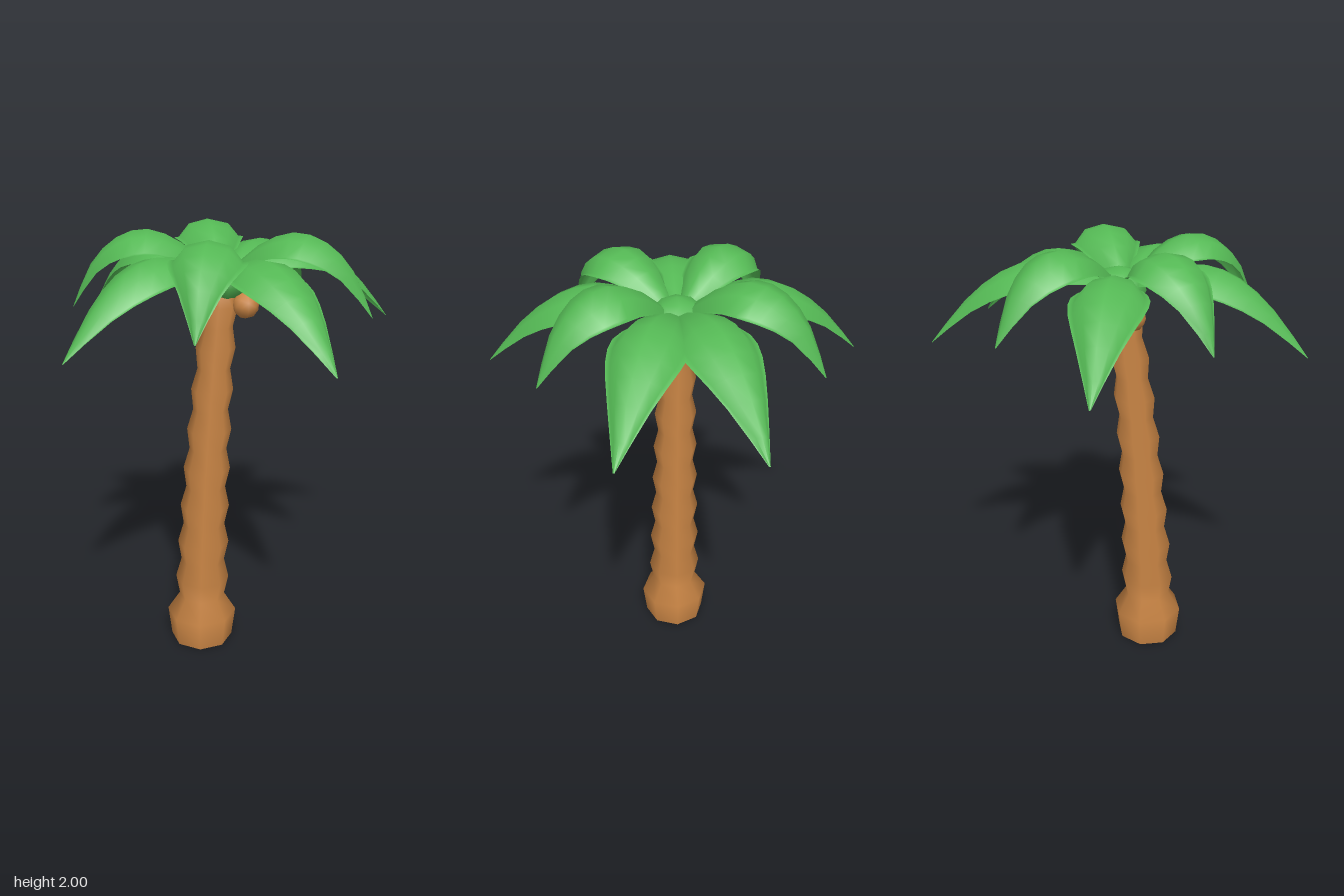
import * as THREE from 'three';

export function createModel() {
  const model = new THREE.Group();
  model.name = 'palmTree';
  const bark = new THREE.MeshStandardMaterial({ color: 0xc88444 });
  bark.name = 'bark brown';
  const green = new THREE.MeshStandardMaterial({ color: 0x54b854, side: THREE.DoubleSide });
  green.name = 'leaf green';

  function add(name, geometry, material, x = 0, y = 0, z = 0) {
    const mesh = new THREE.Mesh(geometry, material);
    mesh.name = name;
    mesh.position.set(x, y, z);
    model.add(mesh);
    return mesh;
  }

  // Trunk: flared foot, then alternating wide and narrow rings
  const profile = [[0.15, 0], [0.168, 0.145]];
  for (let i = 0; i < 16; i++) {
    const t = i / 15;
    const radius = i % 2 ? 0.132 - 0.048 * t : 0.11 - 0.044 * t;
    profile.push([radius, 0.235 + 0.0955 * i]);
  }
  profile.push([0.055, 1.76]);
  const trunk = new THREE.LatheGeometry(profile.map(([r, y]) => new THREE.Vector2(r, y)), 8);
  // Lean towards +x, more strongly near the top
  const p = trunk.attributes.position;
  for (let i = 0; i < p.count; i++) {
    p.setX(i, p.getX(i) - 0.13 + 0.135 * Math.pow(p.getY(i) / 1.75, 1.8));
  }
  add('trunk', trunk, bark);
  add('trunkBase', new THREE.CircleGeometry(0.15, 8).rotateX(Math.PI / 2), bark, -0.13);

  // Crown knob and the nuts below it
  add('crownKnob', new THREE.IcosahedronGeometry(0.125, 1), green, 0.02, 1.785, 0).scale.y = 0.8;
  [[0.055, 0.105], [0.082, -0.072], [-0.058, -0.06]].forEach(([x, z]) =>
    add('coconut', new THREE.IcosahedronGeometry(0.06, 1), bark, x, 1.675, z));

  // Leaf: an arched section with a flat lip, swept along a drooping path
  const section = [[-1, -0.52], [-0.86, -0.5], [-0.55, -0.13], [0, 0], [0.55, -0.13], [0.86, -0.5], [1, -0.52]];
  const widths = new THREE.SplineCurve(
    [[0, 0.035], [0.22, 0.115], [0.44, 0.162], [0.62, 0.148], [0.82, 0.085], [1, 0.003]]
      .map(([a, b]) => new THREE.Vector2(a, b)));
  const ROWS = 10;

  function leafGeometry(path) {
    const curve = new THREE.SplineCurve(path.map(([r, y]) => new THREE.Vector2(r, y)));
    const verts = [], index = [], n = section.length;
    for (let i = 0; i <= ROWS; i++) {
      const c = curve.getPoint(i / ROWS);
      const t = curve.getTangent(i / ROWS);
      const w = widths.getPoint(i / ROWS).y;
      for (const [u, v] of section) {
        verts.push(c.x - t.y * v * w, c.y + t.x * v * w, u * w);
      }
    }
    for (let i = 0; i < ROWS; i++) {
      for (let j = 0; j < n - 1; j++) {
        const a = i * n + j, b = a + n;
        index.push(a, a + 1, b, b, a + 1, b + 1);
      }
    }
    const g = new THREE.BufferGeometry();
    g.setAttribute('position', new THREE.Float32BufferAttribute(verts, 3));
    g.setIndex(index);
    g.computeVertexNormals();
    return g;
  }

  const longLeaf = leafGeometry(
    [[0.04, 1.82], [0.2, 1.89], [0.36, 1.915], [0.52, 1.865], [0.68, 1.74], [0.84, 1.55]]);
  const shortLeaf = leafGeometry(
    [[0.04, 1.82], [0.17, 1.94], [0.32, 2.0], [0.46, 1.965], [0.58, 1.85], [0.67, 1.66]]);

  // Leaf tips as [x, z], with the leaf turned to point at each
  function addLeaves(name, geometry, reach, tips) {
    for (const [x, z] of tips) {
      const leaf = add(name, geometry, green);
      leaf.rotation.y = Math.atan2(-z, x);
      const s = Math.hypot(x, z) / reach;
      leaf.scale.set(s, 1, 1);
    }
  }
  addLeaves('lowLeaf', longLeaf, 0.84,
    [[-0.09, -0.83], [0.82, -0.24], [0.79, 0.33], [-0.17, 0.82], [-0.82, -0.04]]);
  addLeaves('highLeaf', shortLeaf, 0.67,
    [[0.38, -0.56], [0.32, 0.6], [-0.52, 0.41], [-0.48, -0.45]]);

  return model;
}
